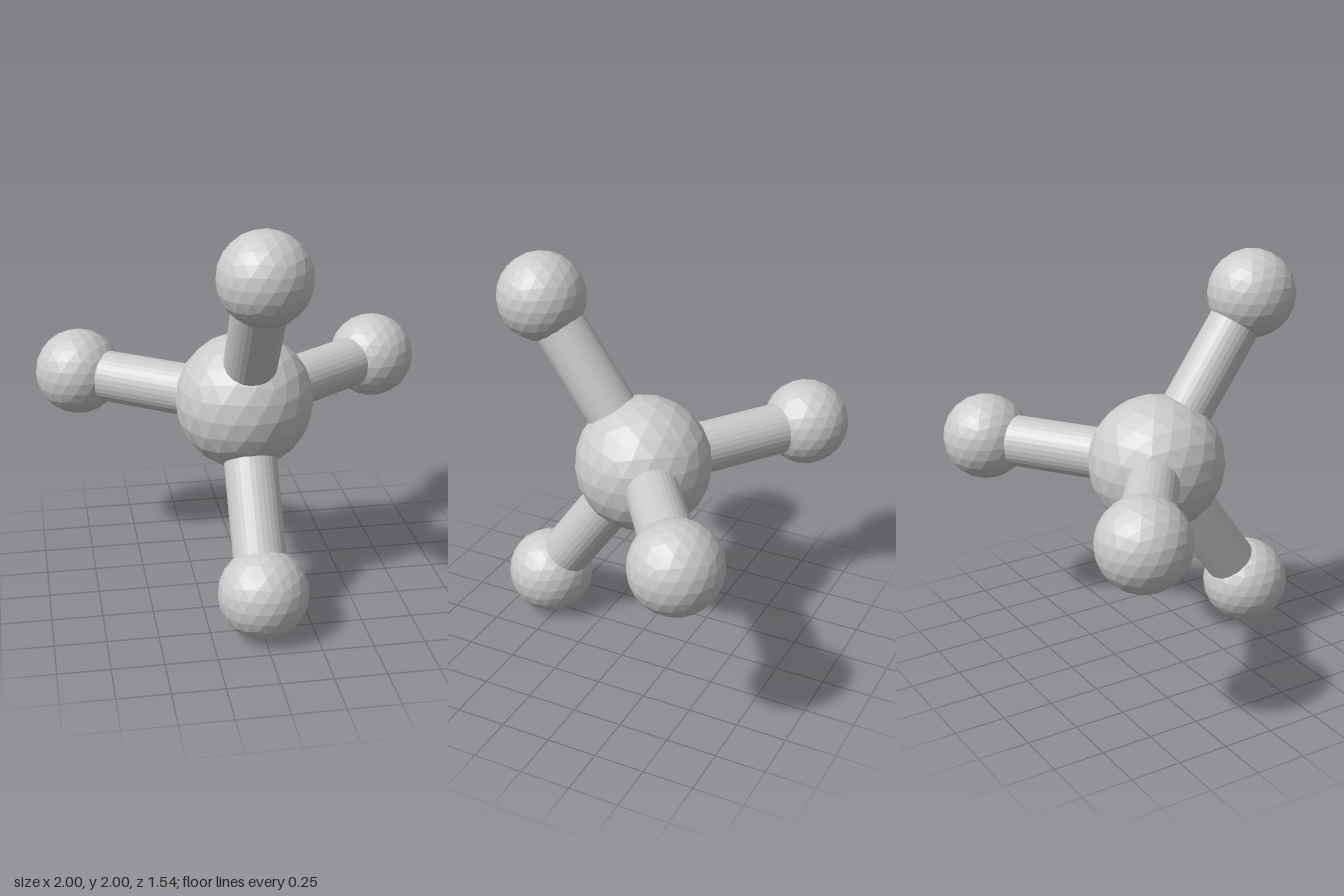
import * as THREE from 'three';

const material = new THREE.MeshStandardMaterial({ color: 0xcccccc, flatShading: true });
const UP = new THREE.Vector3(0, 1, 0);
const POLE_TILT = -Math.atan(2 / (1 + Math.sqrt(5)));

// Faceted ball with one vertex pointing straight up
function ball(name, radius, position) {
  const geometry = new THREE.IcosahedronGeometry(radius, 3).rotateZ(POLE_TILT);
  const mesh = new THREE.Mesh(geometry, material);
  mesh.name = name;
  mesh.position.copy(position);
  return mesh;
}

// Straight rod between two points
function rod(name, radius, from, to) {
  const axis = to.clone().sub(from);
  const mesh = new THREE.Mesh(new THREE.CylinderGeometry(radius, radius, axis.length(), 32), material);
  mesh.name = name;
  mesh.position.copy(from).add(to).multiplyScalar(0.5);
  mesh.quaternion.setFromUnitVectors(UP, axis.normalize());
  return mesh;
}

export function createModel() {
  const model = new THREE.Group();
  model.name = 'tetrahedralMolecule';

  // Central atom
  const center = new THREE.Vector3(0, 1, 0);
  model.add(ball('centralAtom', 0.34, center));

  // Four outer atoms at the corners of a tetrahedron, each joined by a bond
  const corners = {
    upper: [0, 1.78, 0.55],
    lower: [0, 0.22, 0.55],
    left: [0.78, 1, -0.55],
    right: [-0.78, 1, -0.55],
  };
  for (const [side, corner] of Object.entries(corners)) {
    const position = new THREE.Vector3(...corner);
    model.add(ball(`${side}Atom`, 0.22, position));
    model.add(rod(`${side}Bond`, 0.13, center, position));
  }
  return model;
}
